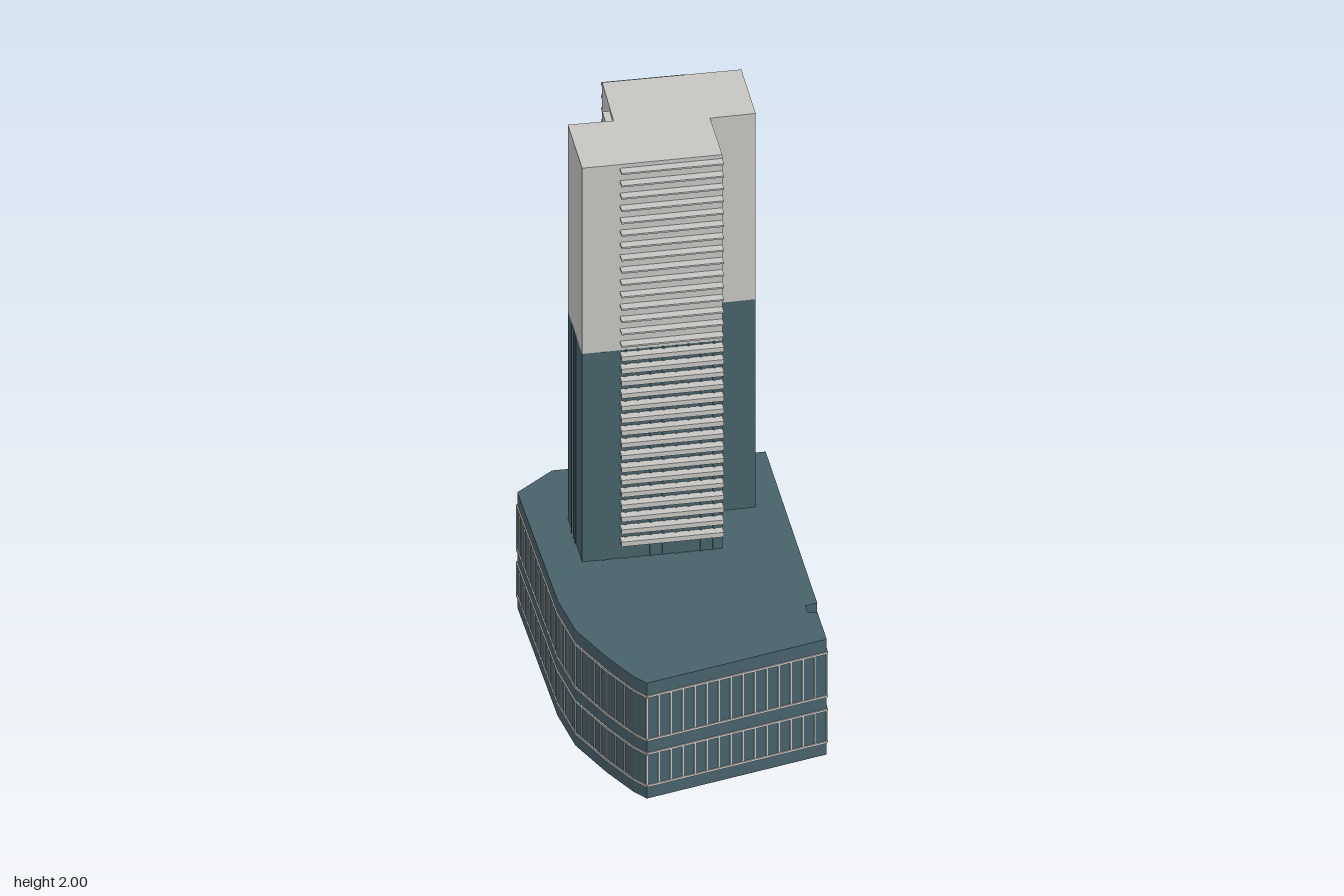
import * as THREE from 'three';
import { mergeGeometries } from 'three/addons/utils/BufferGeometryUtils.js';

const mat = (name, color) => {
  const m = new THREE.MeshStandardMaterial({ color });
  m.name = name;
  return m;
};

// Plan outlines as [x, z]
const podiumPlan = [
  [-0.22, -0.66], [0.508, -0.08], [0.49, -0.042], [0.522, -0.015], [0.548, -0.036],
  [0.675, 0.065], [0.402, 0.655], [0.34, 0.652], [0.2, 0.622], [0.015, 0.567],
  [-0.15, 0.468], [-0.677, 0.062], [-0.677, -0.113], [-0.573, -0.238], [-0.58, -0.255],
  [-0.408, -0.437], [-0.372, -0.412], [-0.35, -0.44], [-0.38, -0.465],
];
const towerPlan = [
  [-0.235, -0.555], [-0.025, -0.385], [-0.12, -0.265], [0.055, -0.125],
  [-0.24, 0.24], [-0.448, 0.072], [-0.35, -0.045], [-0.53, -0.195],
];
const PODIUM = 0.453, SPLIT = 1.27, TOP = 2;

// Vertical prism over a plan outline
function prism(plan, y0, y1) {
  const shape = new THREE.Shape(plan.map(([x, z]) => new THREE.Vector2(x, -z)));
  const g = new THREE.ExtrudeGeometry(shape, { depth: y1 - y0, bevelEnabled: false });
  return g.rotateX(-Math.PI / 2).translate(0, y0, 0);
}

// Box straddling the wall a-b from fraction s to e, sticking out by `out`
function onWall(a, b, s, e, y0, y1, out) {
  const dx = b[0] - a[0], dz = b[1] - a[1], m = (s + e) / 2;
  const g = new THREE.BoxGeometry(Math.hypot(dx, dz) * (e - s), y1 - y0, out * 2);
  g.rotateY(-Math.atan2(dz, dx));
  return g.translate(a[0] + dx * m, (y0 + y1) / 2, a[1] + dz * m);
}

// Narrow upright centred at fraction t of a wall
function upright(a, b, t, width, y0, y1, out) {
  const h = width / 2 / Math.hypot(b[0] - a[0], b[1] - a[1]);
  return onWall(a, b, t - h, t + h, y0, y1, out);
}

export function createModel() {
  const teal = mat('tealCladding', 0x48626b);
  const grey = mat('paleGrey', 0xc6c5c2);
  const group = new THREE.Group();
  const add = (name, geo, material) => {
    const mesh = new THREE.Mesh(geo, material);
    mesh.name = name;
    group.add(mesh);
  };

  // Main volumes
  add('podium', prism(podiumPlan, 0, PODIUM), teal);
  add('lowerTower', prism(towerPlan, PODIUM, SPLIT), teal);
  add('upperTower', prism(towerPlan, SPLIT, TOP), grey);

  // Podium window frames: rails and mullions in two storeys
  const rails = [], mullions = [];
  podiumPlan.forEach((a, i) => {
    const b = podiumPlan[(i + 1) % podiumPlan.length];
    const len = Math.hypot(b[0] - a[0], b[1] - a[1]);
    for (const y of [0.05, 0.176, 0.23, 0.4]) rails.push(onWall(a, b, 0, 1, y - 0.004, y + 0.004, 0.004));
    if (len < 0.05) return;
    const n = Math.max(1, Math.round(len / 0.042));
    for (let k = 0; k <= n; k++) {
      mullions.push(upright(a, b, k / n, 0.005, 0.05, 0.176, 0.003));
      mullions.push(upright(a, b, k / n, 0.005, 0.23, 0.4, 0.003));
    }
  });
  add('podiumRails', mergeGeometries(rails), grey);
  add('podiumMullions', mergeGeometries(mullions), grey);

  // Balcony slabs: thicker on the lower floors, thin above
  const [backCorner, , innerBack, sideCorner, frontCorner, leftFront, notch, leftCorner] = towerPlan;
  const balconies = [
    [sideCorner, frontCorner, 0, 0.73, 0.032],
    [leftCorner, backCorner, 0, 0.6, 0.025],
    [notch, leftCorner, 0, 0.35, 0.024],
  ];
  const lower = [], upper = [];
  for (let y = TOP - 0.018; y > PODIUM + 0.03; y -= 0.0485) {
    const low = y < SPLIT;
    const h = low ? 0.009 : 0.003;
    for (const [a, b, s, e, out] of balconies) {
      (low ? lower : upper).push(onWall(a, b, s, e, y - h, y + h, out));
    }
  }
  add('lowerBalconies', mergeGeometries(lower), grey);
  add('upperBalconies', mergeGeometries(upper), grey);

  // Upright ribs on the lower tower walls
  const ribs = [];
  const rib = (a, b, fractions) => fractions.forEach((t) =>
    ribs.push(upright(a, b, t, 0.008, PODIUM, SPLIT, 0.004)));
  rib(frontCorner, leftFront, [0.43, 0.55, 0.67]);
  rib(notch, leftCorner, [0.62, 0.88]);
  rib(innerBack, sideCorner, [0.1, 0.5, 0.75]);
  rib(sideCorner, frontCorner, [0.06, 0.15, 0.24, 0.33, 0.42, 0.51, 0.6, 0.69, 0.85]);
  rib(leftCorner, backCorner, [0.08, 0.18, 0.28, 0.38, 0.48, 0.58]);
  add('towerRibs', mergeGeometries(ribs), teal);

  return group;
}
